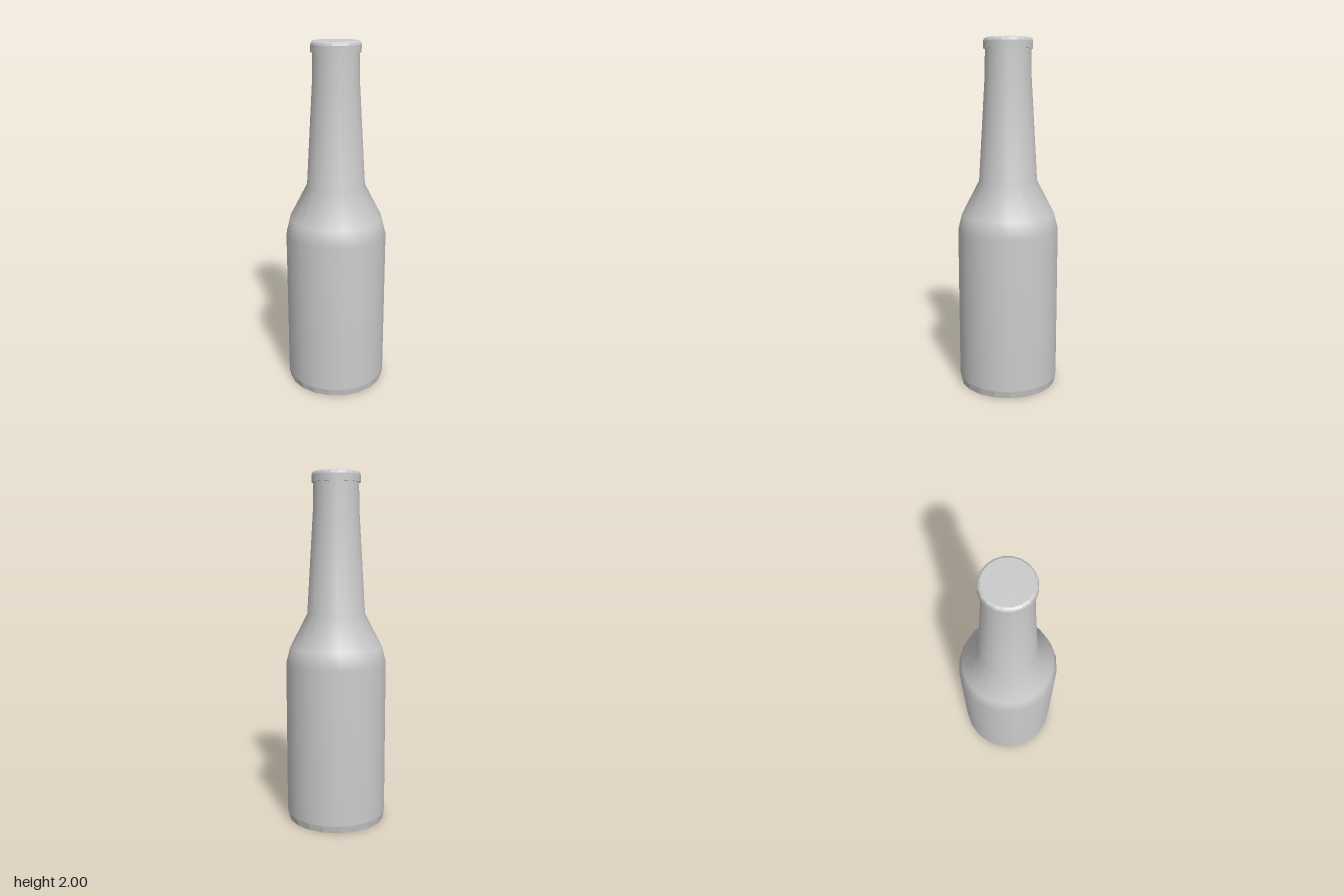
import * as THREE from 'three';

const SIDES = 20;

export function createModel() {
  const bottle = new THREE.Group();
  bottle.name = 'bottle';

  // Revolve a bottom-to-top profile of [radius, height] pairs
  function turned(name, profile, flatShading = false) {
    const points = profile.map(([r, y]) => new THREE.Vector2(r, y));
    const material = new THREE.MeshStandardMaterial({ color: 0xcccccc, flatShading });
    const mesh = new THREE.Mesh(new THREE.LatheGeometry(points, SIDES), material);
    mesh.name = name;
    bottle.add(mesh);
  }

  // Base: flat underside and a faceted bevel
  turned('underside', [[0, 0], [0.281, 0]], true);
  turned('baseBevel', [[0.281, 0], [0.289, 0.04]], true);

  // Smooth body, shoulder and neck in one sweep
  turned('bodyAndNeck', [
    [0.289, 0.04], [0.289, 0.923], [0.266, 1.015],
    [0.166, 1.207], [0.131, 1.785], [0.128, 1.94],
  ]);

  // Lip: ledge, band, rounded upper edge and closed top
  turned('lipLedge', [[0.128, 1.94], [0.138, 1.94]], true);
  turned('lipBand', [[0.138, 1.94], [0.138, 1.98]]);
  turned('lipBevel', [[0.138, 1.98], [0.134, 1.992], [0.123, 2]], true);
  turned('lipTop', [[0.123, 2], [0, 2]], true);

  return bottle;
}
